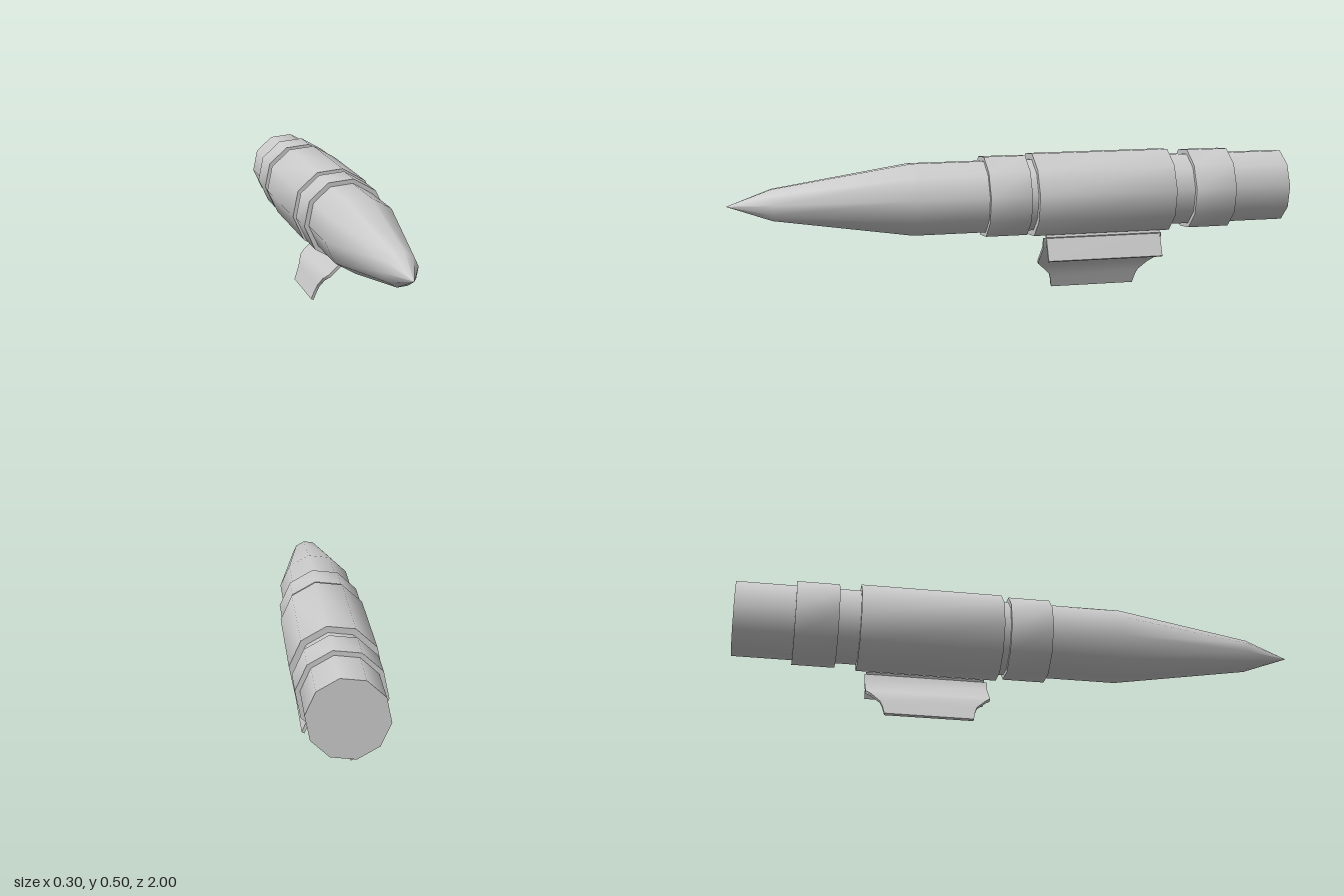
import * as THREE from 'three';
import { toCreasedNormals } from 'three/addons/utils/BufferGeometryUtils.js';

const SIDES = 10;
const PHASE = THREE.MathUtils.degToRad(96.5);
const AXIS_Y = 0.353;
const CREASE = 0.8;

export function createModel() {
  const model = new THREE.Group();
  const material = new THREE.MeshStandardMaterial({ color: 0xcccccc });

  const add = (name, geometry) => {
    const mesh = new THREE.Mesh(toCreasedNormals(geometry, CREASE), material);
    mesh.name = name;
    model.add(mesh);
    return mesh;
  };

  // Ten-sided solid turned about the long axis; profile is [radius, z], back to front
  const turned = (name, profile) => {
    const points = profile.map(([r, z]) => new THREE.Vector2(r, z));
    const geometry = new THREE.LatheGeometry(points, SIDES, PHASE);
    geometry.rotateX(Math.PI / 2);
    add(name, geometry).position.y = AXIS_Y;
  };

  // Thin bent plate; each row is [leftX, leftY, rightX, rightY, frontZ, backZ], top to bottom
  const plate = (name, rows) => {
    const n = rows.length - 1;
    const geometry = new THREE.BoxGeometry(1, 1, 1, 1, n, 1);
    const p = geometry.attributes.position;
    for (let i = 0; i < p.count; i++) {
      const [lx, ly, rx, ry, zf, zb] = rows[Math.round((0.5 - p.getY(i)) * n)];
      const left = p.getX(i) < 0;
      p.setXYZ(i, left ? lx : rx, left ? ly : ry, p.getZ(i) > 0 ? zf : zb);
    }
    add(name, geometry);
  };

  // Barrel with tapered nose and point
  turned('body', [[0, -1], [0.131, -1], [0.131, 0.365], [0.057, 0.845], [0, 1]]);

  // Raised collars and the central sleeve
  const bands = [
    ['rearCollar', 0.147, -0.79, -0.64],
    ['sleeve', 0.1525, -0.565, -0.065],
    ['frontCollar', 0.147, -0.04, 0.108],
  ];
  for (const [name, r, z0, z1] of bands) {
    turned(name, [[0.12, z0], [r, z0], [r, z1], [0.12, z1]]);
  }

  // Short straight flap of the clip
  plate('clipFlap', [
    [0.062, 0.213, 0.071, 0.217, -0.107, -0.527],
    [0.100, 0.125, 0.109, 0.130, -0.107, -0.527],
  ]);

  // Long bent tongue of the clip, narrowing towards its end
  plate('clipTongue', [
    [0.065, 0.205, 0.077, 0.209, -0.097, -0.532],
    [0.055, 0.172, 0.064, 0.165, -0.097, -0.532],
    [-0.015, 0.107, -0.007, 0.099, -0.097, -0.532],
    [-0.034, 0.089, -0.025, 0.083, -0.115, -0.515],
    [-0.047, 0.057, -0.038, 0.053, -0.147, -0.483],
    [-0.055, 0.036, -0.046, 0.032, -0.154, -0.475],
    [-0.067, 0.004, -0.058, 0, -0.16, -0.468],
  ]);

  return model;
}
